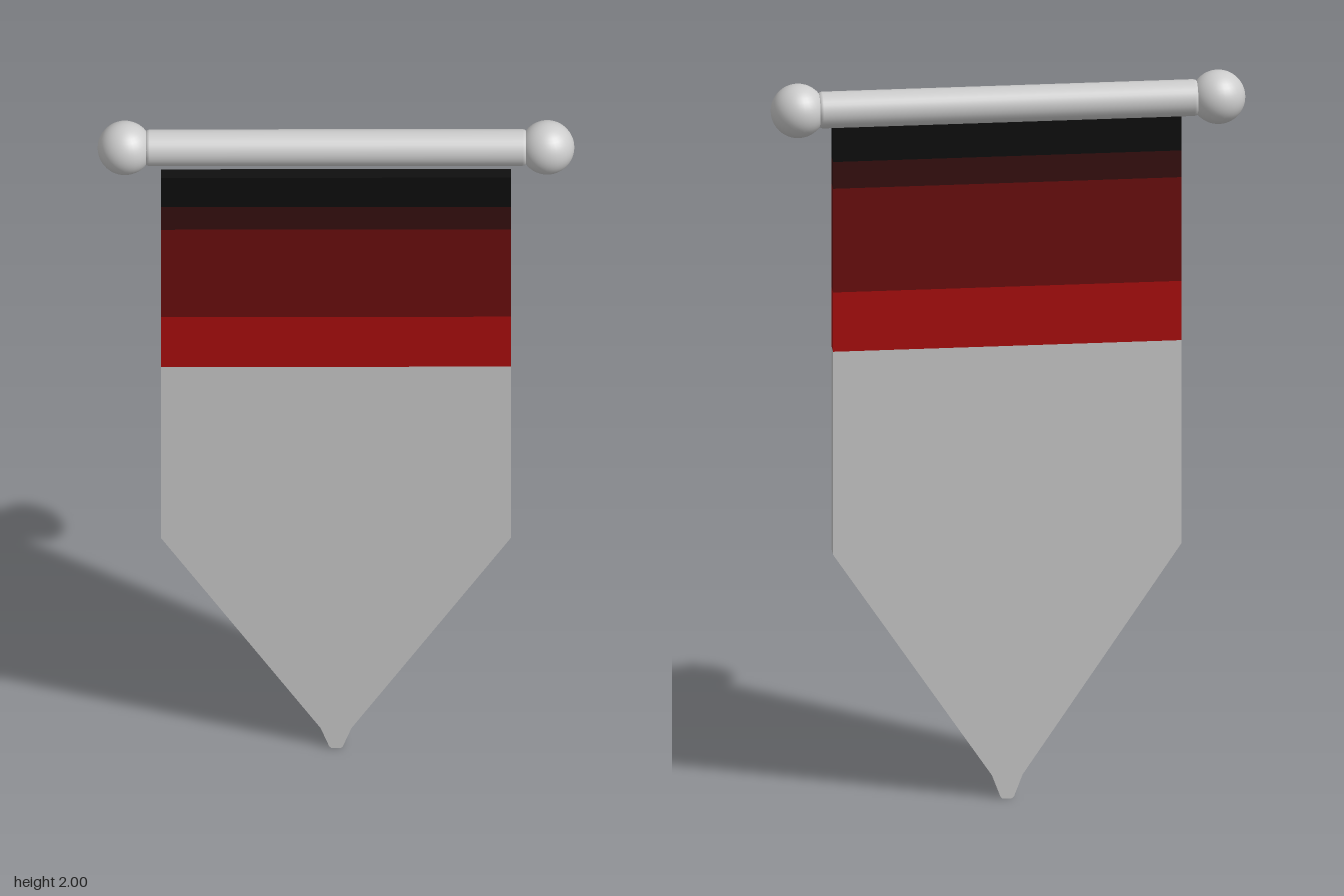
import * as THREE from 'three';

const material = (name, color) => {
  const m = new THREE.MeshStandardMaterial({ color });
  m.name = name;
  return m;
};

export function createModel() {
  const model = new THREE.Group();
  model.name = 'hangingBanner';

  const grey = material('paleGrey', 0xcccccc);
  const add = (name, geometry, mat, parent = model) => {
    const mesh = new THREE.Mesh(geometry, mat);
    mesh.name = name;
    parent.add(mesh);
    return mesh;
  };

  // Horizontal rod with softened ends, and a ball on each end
  const rodY = 1.929;
  const rodProfile = [
    [0, -0.5], [0.04, -0.497], [0.046, -0.492], [0.048, -0.485],
    [0.048, 0.485], [0.046, 0.492], [0.04, 0.497], [0, 0.5],
  ].map(([r, y]) => new THREE.Vector2(r, y));
  const rod = add('rod', new THREE.LatheGeometry(rodProfile, 32), grey);
  rod.rotation.z = Math.PI / 2;
  rod.position.y = rodY;
  for (const [name, side] of [['leftFinial', 1], ['rightFinial', -1]]) {
    const ball = add(name, new THREE.SphereGeometry(0.071, 32, 20), grey);
    ball.position.set(side * 0.549, rodY, 0);
  }

  // Cloth panels: right half outlines, mirrored and extruded to the cloth thickness
  const cloth = new THREE.Group();
  cloth.name = 'cloth';
  model.add(cloth);
  const back = 0.019, front = 0.056, halfWidth = 0.455;
  const panel = (name, half, mat) => {
    const outline = [...half, ...half.map(([x, y]) => [-x, y]).reverse()];
    const shape = new THREE.Shape(outline.map(([x, y]) => new THREE.Vector2(x, y)));
    const geometry = new THREE.ExtrudeGeometry(shape, { depth: front - back, bevelEnabled: false });
    geometry.translate(0, 0, back);
    add(name, geometry, mat, cloth);
  };

  // Colour bands from the top down
  const bands = [
    ['blackBand', 1.873, 1.777, material('black', 0x0e0e0e)],
    ['darkMaroonBand', 1.777, 1.703, material('darkMaroon', 0x360f0f)],
    ['maroonBand', 1.703, 1.416, material('maroon', 0x6c0e0e)],
    ['redBand', 1.416, 1.252, material('red', 0xac0e0e)],
  ];
  for (const [name, top, bottom, mat] of bands) {
    panel(name, [[halfWidth, bottom], [halfWidth, top]], mat);
  }

  // Plain lower cloth tapering to a blunt point
  panel('pointedCloth', [
    [0.013, 0], [0.018, 0.006], [0.04, 0.065], [halfWidth, 0.69], [halfWidth, 1.252],
  ], grey);

  return model;
}
